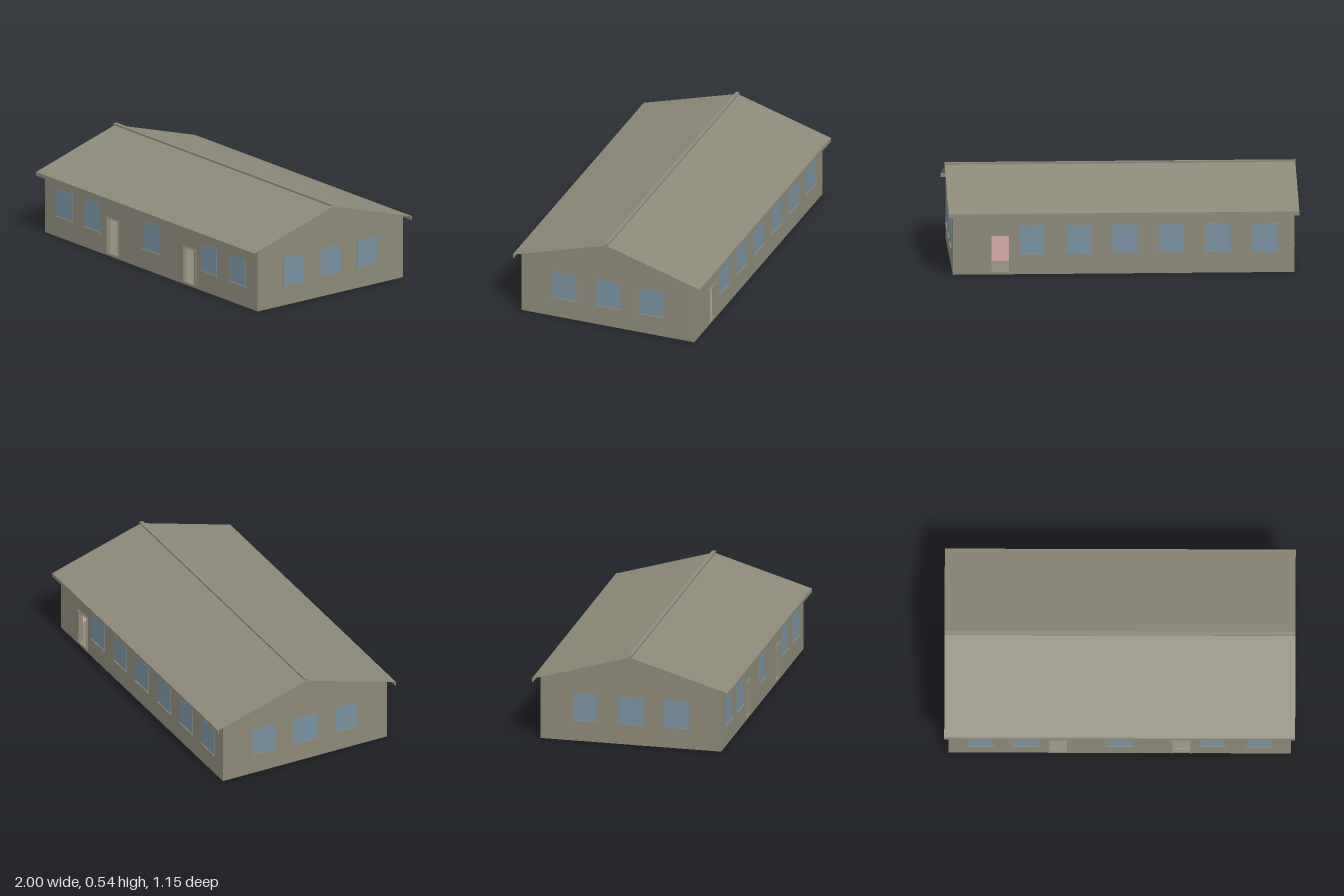
import * as THREE from 'three';

const wallMat = new THREE.MeshStandardMaterial({ name: 'khaki', color: 0x8c8978 });
const sheetMat = new THREE.MeshStandardMaterial({ name: 'khakiSheet', color: 0x8c8978, side: THREE.DoubleSide });
const glassMat = new THREE.MeshStandardMaterial({ name: 'blueGlass', color: 0x7891a0 });
const pinkMat = new THREE.MeshStandardMaterial({ name: 'pinkPlaster', color: 0xd6acaa, side: THREE.DoubleSide });

const HX = 0.975, HZ = 0.53, EAVE = 0.37, RIDGE = 0.526, T = 0.02;
const DOOR_Y0 = 0.015, DOOR_Y1 = 0.225;

function add(parent, name, geometry, material, x = 0, y = 0, z = 0) {
  const mesh = new THREE.Mesh(geometry, material);
  mesh.name = name;
  mesh.position.set(x, y, z);
  parent.add(mesh);
  return mesh;
}

const box = (parent, name, mat, w, h, d, x, y, z) =>
  add(parent, name, new THREE.BoxGeometry(w, h, d), mat, x, y, z);

function polygon(points) {
  return new THREE.Shape(points.map(([x, y]) => new THREE.Vector2(x, y)));
}

const rect = (x0, x1, y0, y1) => polygon([[x0, y0], [x1, y0], [x1, y1], [x0, y1]]);

// One facade, drawn facing +z with its outer face on z = 0
function facade(name, outline, doors, windows) {
  const group = new THREE.Group();
  group.name = name;
  for (const d of doors) outline.holes.push(rect(d.x0, d.x1, DOOR_Y0, DOOR_Y1));
  const wall = new THREE.ExtrudeGeometry(outline, { depth: T, bevelEnabled: false });
  add(group, 'wall', wall, wallMat, 0, 0, -T);
  add(group, 'wallLining', new THREE.ShapeGeometry(outline), pinkMat, 0, 0, -T - 0.002);

  for (const x of windows) {
    box(group, 'windowPane', glassMat, 0.146, 0.163, 0.004, x, 0.203, 0);
    box(group, 'windowSill', wallMat, 0.156, 0.007, 0.016, x, 0.119, 0);
  }

  for (const d of doors) {
    const h = DOOR_Y1 - DOOR_Y0, y = (DOOR_Y0 + DOOR_Y1) / 2;
    // Frame with its wider jamb on the hinge side
    for (const [side, x] of [[-1, d.x0], [1, d.x1]]) {
      const w = side === d.hinge ? 0.013 : 0.004;
      box(group, 'doorJamb', wallMat, w, h, 0.027, x + side * w / 2, y, -0.0065);
    }
    box(group, 'doorHead', wallMat, d.x1 - d.x0 + 0.017, 0.005, 0.027,
      (d.x0 + d.x1) / 2 + d.hinge * 0.0045, DOOR_Y1 + 0.0025, -0.0065);
  }
  return group;
}

export function createModel() {
  const model = new THREE.Group();
  model.name = 'house';

  // Long walls
  const L = HX - T;
  const front = facade('frontWall', rect(-L, L, 0, EAVE),
    [{ x0: -0.4, x1: -0.3, hinge: -1 }, { x0: 0.3, x1: 0.4, hinge: 1 }],
    [-0.795, -0.535, 0, 0.53, 0.795]);
  front.position.z = HZ;
  const back = facade('backWall', rect(-L, L, 0, EAVE),
    [{ x0: -0.755, x1: -0.655, hinge: -1 }],
    [-0.525, -0.26, 0.005, 0.27, 0.535, 0.8]);
  back.position.z = -HZ;
  back.rotation.y = Math.PI;
  model.add(front, back);

  // Gable walls
  for (const side of [-1, 1]) {
    const gable = facade(side > 0 ? 'leftGable' : 'rightGable',
      polygon([[-HZ, 0], [HZ, 0], [HZ, EAVE], [0, RIDGE], [-HZ, EAVE]]),
      [], [-0.267, 0, 0.267]);
    gable.position.x = side * HX;
    gable.rotation.y = side * Math.PI / 2;
    model.add(gable);
  }

  // Floor, ceiling and inner partition
  box(model, 'floor', wallMat, 2 * HX - 0.002, 0.012, 2 * HZ - 0.002, 0, 0.006, 0);
  box(model, 'ceiling', pinkMat, 2 * L, 0.004, 2 * (HZ - T), 0, 0.31, 0);
  box(model, 'partition', pinkMat, 2 * L, 0.296, 0.01, 0, 0.16, -0.21);

  // Roof sheets, eave boards and ridge cap
  const top = 0.53, run = 0.572, low = 0.36;
  const slope = Math.atan2(top - low, run), length = Math.hypot(top - low, run);
  for (const side of [-1, 1]) {
    const sheet = add(model, side > 0 ? 'frontRoof' : 'backRoof',
      new THREE.PlaneGeometry(2, length), sheetMat, 0, (top + low) / 2, side * run / 2);
    sheet.rotation.x = side > 0 ? -Math.PI / 2 + slope : -Math.PI / 2 - slope;
    box(model, 'eaveBoard', wallMat, 2, 0.022, 0.006, 0, 0.35, side * 0.572);
  }
  box(model, 'ridgeCap', wallMat, 2, 0.011, 0.022, 0, 0.5365, 0);

  return model;
}
